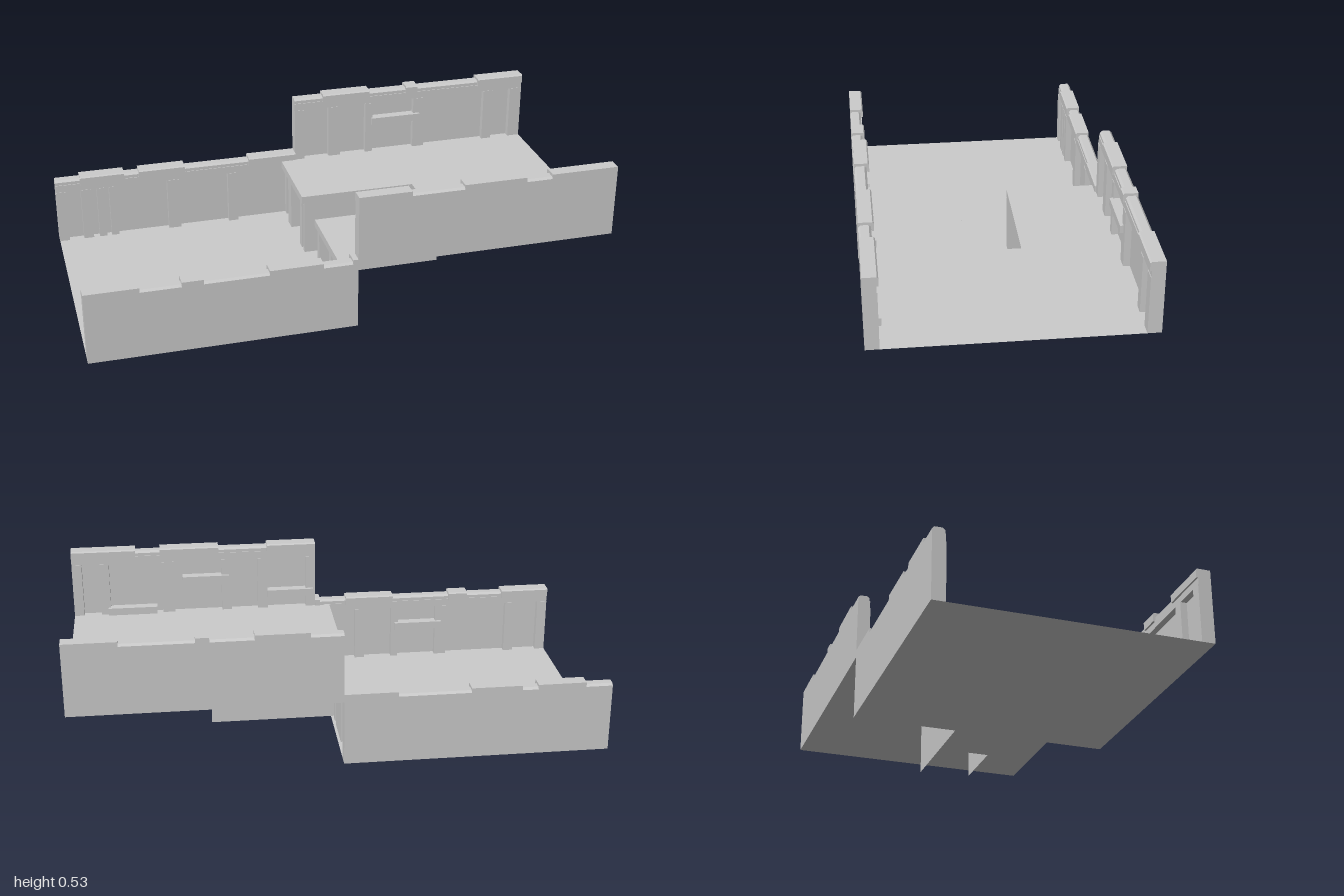
import * as THREE from 'three';

const mat = new THREE.MeshStandardMaterial({ color: 0xcccccc, flatShading: true, side: THREE.DoubleSide });

function add(parent, name, geo) {
  const m = new THREE.Mesh(geo, mat);
  m.name = name;
  parent.add(m);
  return m;
}

// Box given by its limits on each axis
function block(parent, name, x0, x1, y0, y1, z0, z1) {
  const m = add(parent, name, new THREE.BoxGeometry(x1 - x0, y1 - y0, Math.abs(z1 - z0)));
  m.position.set((x0 + x1) / 2, (y0 + y1) / 2, (z0 + z1) / 2);
}

// Flat sheet from an outline of [x, z] corners at height y
function slab(parent, name, pts, y) {
  const shape = new THREE.Shape(pts.map(([x, z]) => new THREE.Vector2(x, -z)));
  const geo = new THREE.ShapeGeometry(shape).rotateX(-Math.PI / 2).translate(0, y, 0);
  add(parent, name, geo);
}

// Open sheet: a path of [x, z] points raised from y0 to y1
function ribbon(parent, name, path, y0, y1) {
  const pos = [], idx = [];
  path.forEach(([x, z], i) => {
    pos.push(x, y0, z, x, y1, z);
    const a = i * 2;
    if (i) idx.push(a - 2, a, a - 1, a, a + 1, a - 1);
  });
  const geo = new THREE.BufferGeometry();
  geo.setAttribute('position', new THREE.Float32BufferAttribute(pos, 3));
  geo.setIndex(idx);
  geo.computeVertexNormals();
  add(parent, name, geo);
}

// Coping stone: tall square or low rounded section, run along x; s is the side (+1 front, -1 back)
function coping(parent, x0, x1, y, s, low) {
  const outline = low
    ? [[0.5, 0], [0.5, 0.012], [0.492, 0.02], [0.463, 0.02], [0.455, 0.012], [0.455, 0]]
    : [[0.5, -0.005], [0.5, 0.03], [0.45, 0.03], [0.445, 0.025], [0.445, -0.005]];
  const shape = new THREE.Shape(outline.map(([z, h]) => new THREE.Vector2(-s * z, y + h)));
  const geo = new THREE.ExtrudeGeometry(shape, { depth: x1 - x0, bevelEnabled: false });
  geo.rotateY(Math.PI / 2).translate(x0, 0, 0);
  add(parent, low ? 'roundedCoping' : 'squareCoping', geo);
}

// Side wall one unit long: plain outside, posts, ledges and coping inside
function sideWall(parent, { name, x0, y, s, posts, ledges, low }) {
  const wall = new THREE.Group();
  wall.name = name;
  parent.add(wall);
  const x1 = x0 + 1;
  block(wall, 'panel', x0, x1, y, y + 0.25, s * 0.475, s * 0.5);
  block(wall, 'topRail', x0, x1, y + 0.22, y + 0.25, s * 0.452, s * 0.475);
  for (const [c, w] of posts) {
    block(wall, 'post', Math.max(x0, c - w / 2), Math.min(x1, c + w / 2), y, y + 0.22, s * 0.45, s * 0.475);
  }
  for (const [a, b, h] of ledges) block(wall, 'ledge', a, b, h - 0.015, h + 0.015, s * 0.437, s * 0.475);
  // Coping alternates between low runs and the square stones between them
  let at = x0;
  for (const [a, b] of low) {
    if (a > at) coping(wall, at, a, y + 0.25, s, false);
    coping(wall, a, b, y + 0.25, s, true);
    at = b;
  }
  if (at < x1) coping(wall, at, x1, y + 0.25, s, false);
}

// Riser between the floors: thin sheet stepping out at each post
function riser(parent, name, s, posts, ledges) {
  const g = new THREE.Group();
  g.name = name;
  parent.add(g);
  const path = [[-0.01, s * 0.1]];
  for (const [a, b] of posts) path.push([-0.01, s * a], [-0.05, s * a], [-0.05, s * b], [-0.01, s * b]);
  path.push([-0.01, s * 0.5]);
  ribbon(g, 'panelAndPosts', path, 0, 0.22);
  // Lip under the edge of the upper floor
  ribbon(g, 'lip', [[0, s * 0.1], [-0.06, s * 0.1], [-0.06, s * 0.5]], 0.22, 0.25);
  slab(g, 'lipUnderside', [[-0.06, s * 0.1], [-0.01, s * 0.1], [-0.01, s * 0.5], [-0.06, s * 0.5]], 0.22);
  for (const [a, b, h] of ledges) block(g, 'ledge', -0.068, -0.01, h - 0.015, h + 0.015, s * a, s * b);
}

export function createModel() {
  const model = new THREE.Group();
  model.name = 'twoLevelPlatform';

  // Lower floor with the passage tongue
  slab(model, 'lowerFloor', [[-1, -0.5], [0, -0.5], [0, -0.1], [0.2, -0.1], [0.2, 0.1], [0, 0.1], [0, 0.5], [-1, 0.5]], 0);
  // Upper floor with the passage slot
  slab(model, 'upperFloor', [
    [1, 0.5], [0, 0.5], [0, 0.45], [-0.06, 0.45], [-0.06, 0.1], [0.4, 0.1],
    [0.4, -0.1], [-0.06, -0.1], [-0.06, -0.45], [0, -0.45], [0, -0.5], [1, -0.5],
  ], 0.25);

  // Passage walls
  ribbon(model, 'passageWallFront', [[-0.05, 0.1], [0.445, 0.1]], 0, 0.25);
  ribbon(model, 'passageWallBack', [[-0.05, -0.1], [0.467, -0.1]], 0, 0.25);

  // Risers
  riser(model, 'riserFront', 1, [[0.1, 0.13], [0.275, 0.3], [0.45, 0.5]], [[0.275, 0.45, 0.14]]);
  riser(model, 'riserBack', -1, [[0.1, 0.12], [0.145, 0.175], [0.325, 0.375], [0.475, 0.5]], []);

  // Side walls
  const walls = [
    { name: 'lowerFrontWall', x0: -1, y: 0, s: 1,
      posts: [[-0.02, 0.04], [-0.19, 0.04], [-0.34, 0.03], [-0.54, 0.05], [-0.84, 0.04], [-0.98, 0.04]],
      ledges: [[-0.54, -0.34, 0.14]],
      low: [[-0.8, -0.65], [-0.57, -0.33], [-0.13, -0.02]] },
    { name: 'lowerBackWall', x0: -1, y: 0, s: -1,
      posts: [[-0.98, 0.04], [-0.88, 0.04], [-0.82, 0.03], [-0.77, 0.03], [-0.52, 0.05], [-0.27, 0.04], [-0.02, 0.04]],
      ledges: [],
      low: [[-1, -0.9], [-0.72, -0.66], [-0.47, -0.2]] },
    { name: 'upperFrontWall', x0: 0, y: 0.25, s: 1,
      posts: [[0.02, 0.04], [0.22, 0.04], [0.37, 0.04], [0.61, 0.05], [0.87, 0.04], [0.98, 0.04]],
      ledges: [[0.01, 0.2, 0.315], [0.36, 0.55, 0.39], [0.66, 0.86, 0.265]],
      low: [[0.2, 0.4], [0.64, 0.74]] },
    { name: 'upperBackWall', x0: 0, y: 0.25, s: -1,
      posts: [[0.02, 0.04], [0.17, 0.05], [0.32, 0.03], [0.54, 0.05], [0.85, 0.04], [0.975, 0.05]],
      ledges: [[0.33, 0.54, 0.39]],
      low: [[0, 0.12], [0.32, 0.48], [0.53, 0.8]] },
  ];
  walls.forEach((w) => sideWall(model, w));
  return model;
}
